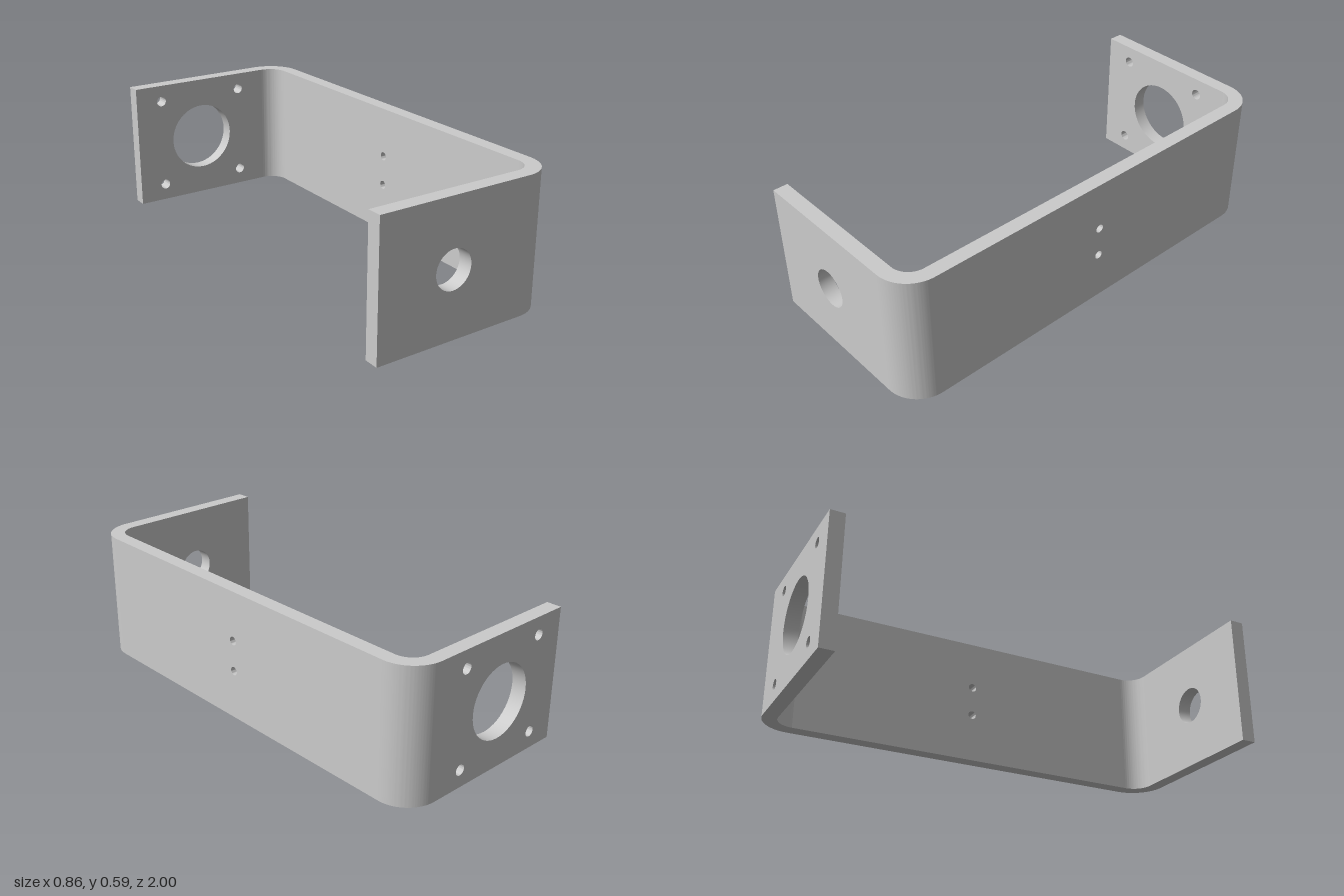
import * as THREE from 'three';
import { toCreasedNormals } from 'three/addons/utils/BufferGeometryUtils.js';

const H = 0.59, T = 0.065, X = 0.4275, Z = 1; // height, sheet thickness, half extents
const R = 0.15, XB = X - R, ZB = Z - R;       // outer bend radius, where bends start
const HOLE_X = -0.08, MID = H / 2, EPS = 1e-4;

const material = new THREE.MeshStandardMaterial({ color: 0xcccccc });

// Rectangle from (x0, 0) to (x1, H) with round holes given as [x, y, radius]
function plate(x0, x1, holes) {
  const s = new THREE.Shape();
  s.moveTo(x0, 0).lineTo(x1, 0).lineTo(x1, H).lineTo(x0, H).closePath();
  for (const [x, y, r] of holes) {
    s.holes.push(new THREE.Path().absarc(x, y, r, 0, Math.PI * 2, true));
  }
  return extrude(s, T);
}

function extrude(shape, depth) {
  return new THREE.ExtrudeGeometry(shape, { depth, bevelEnabled: false, curveSegments: 24 });
}

// Removes the hidden faces where two sections join, then smooths the curved walls
function section(name, geometry, isJoint) {
  const p = geometry.attributes.position, kept = [];
  for (let i = 0; i < p.count; i += 3) {
    const c = new THREE.Vector3();
    for (let k = 0; k < 3; k++) c.add(new THREE.Vector3().fromBufferAttribute(p, i + k));
    if (isJoint(c.divideScalar(3))) continue;
    for (let k = 0; k < 3; k++) kept.push(p.getX(i + k), p.getY(i + k), p.getZ(i + k));
  }
  const g = new THREE.BufferGeometry();
  g.setAttribute('position', new THREE.Float32BufferAttribute(kept, 3));
  const mesh = new THREE.Mesh(toCreasedNormals(g, 0.6), material);
  mesh.name = name;
  return mesh;
}

// Quarter-ring bend; side is +1 at the front, -1 at the back
function bend(side) {
  const a0 = side > 0 ? -Math.PI / 2 : 0, a1 = a0 + Math.PI / 2;
  const s = new THREE.Shape();
  s.absarc(XB, -side * ZB, R, a0, a1, false);
  s.absarc(XB, -side * ZB, R - T, a1, a0, true);
  s.closePath();
  return extrude(s, H).rotateX(-Math.PI / 2);
}

export function createModel() {
  const group = new THREE.Group();
  group.name = 'bracket';

  // Front flange with a single bore
  const flangeJoint = (c) => c.x > XB - EPS;
  const front = plate(-X, XB, [[HOLE_X, MID, 0.085]]).translate(0, 0, Z - T);
  group.add(section('frontFlange', front, flangeJoint));

  // Back flange with a large bore and four mounting holes
  const holes = [[HOLE_X, MID, 0.162]];
  for (const sx of [-1, 1]) {
    for (const sy of [-1, 1]) holes.push([HOLE_X + sx * 0.216, MID + sy * 0.216, 0.024]);
  }
  const back = plate(-X, XB, holes).translate(0, 0, -Z);
  group.add(section('backFlange', back, flangeJoint));

  // Long web with two small screw holes
  const web = plate(-ZB, ZB, [[0, MID - 0.07, 0.019], [0, MID + 0.07, 0.019]])
    .rotateY(Math.PI / 2).translate(X - T, 0, 0);
  group.add(section('web', web, (c) => Math.abs(c.z) > ZB - EPS));

  // Rounded corners
  const bendJoint = (c) => c.x < XB + EPS || Math.abs(c.z) < ZB + EPS;
  group.add(section('frontBend', bend(1), bendJoint));
  group.add(section('backBend', bend(-1), bendJoint));
  return group;
}
